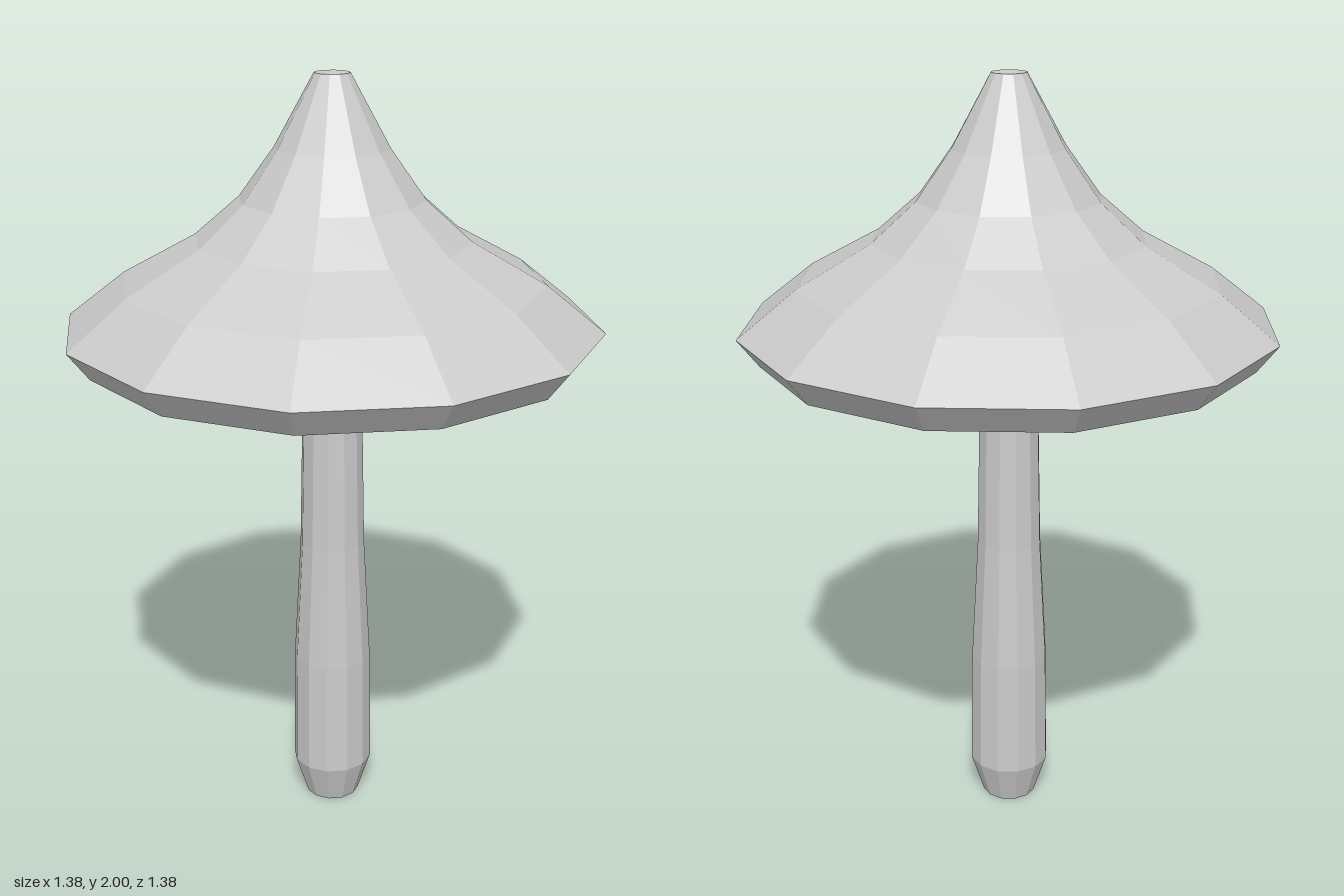
import * as THREE from 'three';

const SIDES = 12;

// Faceted solid of revolution; the profile runs from the bottom centre to the top centre.
function turned(name, profile) {
  const points = profile.map(([r, y]) => new THREE.Vector2(r, y));
  const geometry = new THREE.LatheGeometry(points, SIDES).toNonIndexed();
  geometry.computeVertexNormals();
  const material = new THREE.MeshStandardMaterial({ color: 0xcccccc, flatShading: true });
  const mesh = new THREE.Mesh(geometry, material);
  mesh.name = name;
  return mesh;
}

export function createModel() {
  const mushroom = new THREE.Group();
  mushroom.name = 'mushroom';

  // Stem: pinched foot, swollen base, slim neck running up into the cap
  mushroom.add(turned('stem', [
    [0, 0], [0.073, 0], [0.108, 0.11], [0.104, 0.43],
    [0.086, 0.77], [0.078, 1.18], [0.07, 1.36], [0, 1.36],
  ]));

  // Cap: hollowed underside, bevelled rim, concave slope to a blunt tip
  mushroom.add(turned('cap', [
    [0, 1.35], [0.07, 1.35], [0.11, 1.33], [0.49, 1.275], [0.635, 1.3], [0.69, 1.372],
    [0.54, 1.49], [0.35, 1.595], [0.235, 1.695], [0.145, 1.82],
    [0.045, 2], [0, 2],
  ]));

  return mushroom;
}
